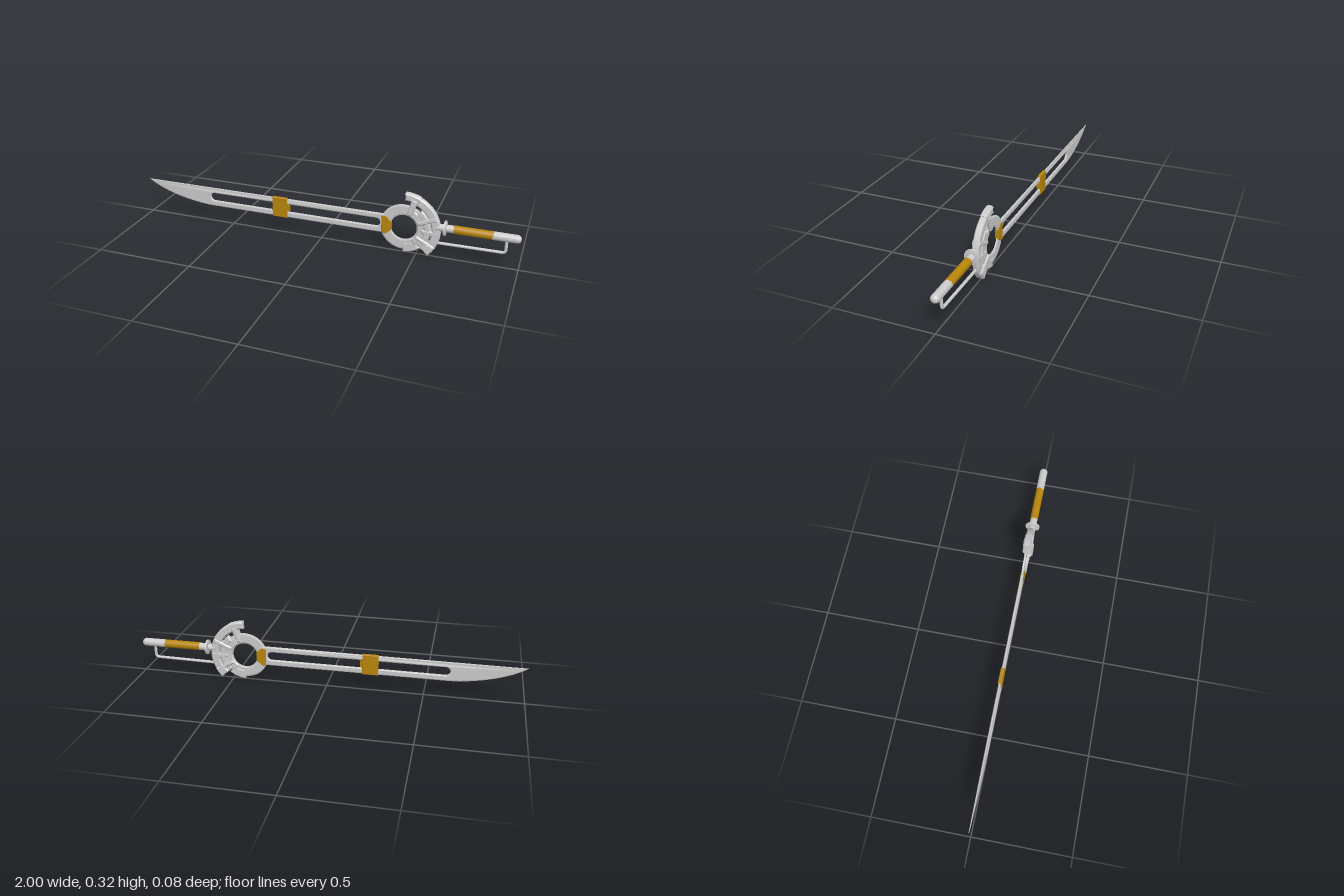
import * as THREE from 'three';

const steel = new THREE.MeshStandardMaterial({ color: 0xcccccc });
const flatSteel = new THREE.MeshStandardMaterial({ color: 0xcccccc, flatShading: true });
const gold = new THREE.MeshStandardMaterial({ color: 0xb8860b });

const CX = 0.432, CY = 0.136; // centre of the ring
const GRIP_Y = 0.163;

// Chamfered plate of half thickness h, centred on z = 0
function plate(shape, h, bevel, inset = bevel) {
  const geo = new THREE.ExtrudeGeometry(shape, {
    depth: 2 * (h - bevel), bevelEnabled: bevel > 0, bevelThickness: bevel,
    bevelSize: inset, bevelOffset: -inset, bevelSegments: 1, curveSegments: 24,
  });
  return geo.translate(0, 0, -(h - bevel));
}

const polygon = (pts) => new THREE.Shape(pts.map(([x, y]) => new THREE.Vector2(x, y)));

// Ring sector between two radii and two angles in degrees
function sector(r0, r1, a0, a1) {
  const s = new THREE.Shape();
  const [b0, b1] = [a0, a1].map(THREE.MathUtils.degToRad);
  s.absarc(0, 0, r1, b0, b1, false);
  s.absarc(0, 0, r0, b1, b0, true);
  s.closePath();
  return s;
}

export function createModel() {
  const model = new THREE.Group();
  const add = (name, geo, mat, parent = model) => {
    const mesh = new THREE.Mesh(geo, mat);
    mesh.name = name;
    parent.add(mesh);
    return mesh;
  };

  // Slotted blade with a curved point that thins toward the tip
  const outline = new THREE.Shape();
  outline.moveTo(0.345, 0.192);
  outline.lineTo(-1, 0.192);
  outline.bezierCurveTo(-0.92, 0.135, -0.77, 0.096, -0.63, 0.09);
  outline.lineTo(0.345, 0.09);
  outline.closePath();
  const slot = new THREE.Path();
  slot.absarc(-0.605, 0.142, 0.022, Math.PI / 2, Math.PI * 1.5, false);
  slot.absarc(0.29, 0.142, 0.022, -Math.PI / 2, Math.PI / 2, false);
  slot.closePath();
  outline.holes.push(slot);
  const bladeGeo = plate(outline, 0.007, 0.003, 0.005);
  const p = bladeGeo.attributes.position;
  for (let i = 0; i < p.count; i++) {
    const t = THREE.MathUtils.clamp((-0.64 - p.getX(i)) / 0.36, 0, 1);
    p.setZ(i, p.getZ(i) * (1 - 0.75 * t));
  }
  bladeGeo.computeVertexNormals();
  add('blade', bladeGeo, flatSteel);

  // Gold clamp around the blade
  add('bladeClamp', plate(polygon([[-0.268, 0.087], [-0.186, 0.087], [-0.186, 0.195], [-0.268, 0.195]]), 0.0095, 0.002), gold);
  add('clampTab', new THREE.BoxGeometry(0.02, 0.03, 0.015).translate(-0.184, 0.142, 0), gold);

  // Ring hub and everything mounted concentrically on it
  const hub = new THREE.Group();
  hub.name = 'hub';
  hub.position.set(CX, CY, 0);
  model.add(hub);
  const ring = new THREE.Shape().absarc(0, 0, 0.121, 0, Math.PI * 2, false);
  ring.holes.push(new THREE.Path().absarc(0, 0, 0.066, 0, Math.PI * 2, true));
  add('ring', plate(ring, 0.006, 0.003, 0.008), flatSteel, hub);
  add('bladeSocket', plate(polygon([
    [-0.113, -0.046], [-0.093, -0.049], [-0.062, -0.024], [-0.062, 0.024], [-0.093, 0.049], [-0.113, 0.046],
  ]), 0.0095, 0.002), gold, hub);

  // Layered arcs of the hand guard: inner radius, outer radius, angles, half thickness
  [
    ['innerGuard', 0.068, 0.108, -58, 62, 0.012],
    ['lowerGuard', 0.085, 0.136, -90, -50, 0.008],
    ['middleGuard', 0.1, 0.136, -48, 50, 0.015],
    ['outerGuard', 0.14, 0.184, -28, 66, 0.016],
    ['upperHook', 0.148, 0.187, 64, 89, 0.018],
    ['lowerHook', 0.13, 0.183, -46, -28, 0.022],
  ].forEach(([name, r0, r1, a0, a1, h]) =>
    add(name, plate(sector(r0, r1, a0, a1), h, 0.007, 0.007), flatSteel, hub));

  // Spokes joining the arcs: angle, inner radius, outer radius, half width, half thickness
  [
    [71, 0.078, 0.165, 0.017, 0.021],
    [24, 0.078, 0.18, 0.014, 0.02],
    [-4, 0.09, 0.18, 0.016, 0.017],
    [-31, 0.075, 0.178, 0.014, 0.021],
  ].forEach(([deg, r0, r1, w, h]) => {
    const shape = polygon([[r0, -w * 0.7], [r1, -w], [r1, w], [r0, w * 0.7]]);
    add('guardSpoke', plate(shape, h, 0.006), flatSteel, hub).rotation.z = THREE.MathUtils.degToRad(deg);
  });

  // Handle sections turned about the x axis: points are [x, radius]
  const turned = (name, pts, mat) => {
    const geo = new THREE.LatheGeometry(pts.map(([x, r]) => new THREE.Vector2(r, x)), 32);
    add(name, geo.rotateZ(-Math.PI / 2).translate(0, GRIP_Y, 0), mat);
  };
  turned('collar', [[0.59, 0], [0.59, 0.018], [0.63, 0.018], [0.632, 0.038], [0.641, 0.038], [0.643, 0.025], [0.643, 0]], flatSteel);
  turned('ferrule', [[0.64, 0.019], [0.683, 0.019]], steel);
  turned('grip', [[0.68, 0.018], [0.68, 0.021], [0.87, 0.021], [0.87, 0.018]], gold);
  const cap = [[0.865, 0.021]];
  for (let i = 0; i <= 8; i++) {
    const a = (i / 8) * Math.PI / 2;
    cap.push([0.98 + 0.019 * Math.sin(a), Math.max(0, 0.021 * Math.cos(a))]);
  }
  turned('pommel', cap, steel);

  // Knuckle bar running below the grip
  const bar = new THREE.CurvePath();
  const v = (x, y) => new THREE.Vector3(x, y, 0);
  bar.add(new THREE.LineCurve3(v(0.575, 0.077), v(0.915, 0.081)));
  bar.add(new THREE.QuadraticBezierCurve3(v(0.915, 0.081), v(0.932, 0.081), v(0.932, 0.098)));
  bar.add(new THREE.LineCurve3(v(0.932, 0.098), v(0.932, 0.155)));
  add('knuckleBar', new THREE.TubeGeometry(bar, 60, 0.0075, 12), steel);

  // Centre the length exactly and rest the lowest point on the ground
  const box = new THREE.Box3().setFromObject(model);
  const shift = new THREE.Vector3(-(box.min.x + box.max.x) / 2, -box.min.y, 0);
  model.children.forEach((c) => c.position.add(shift));
  return model;
}
